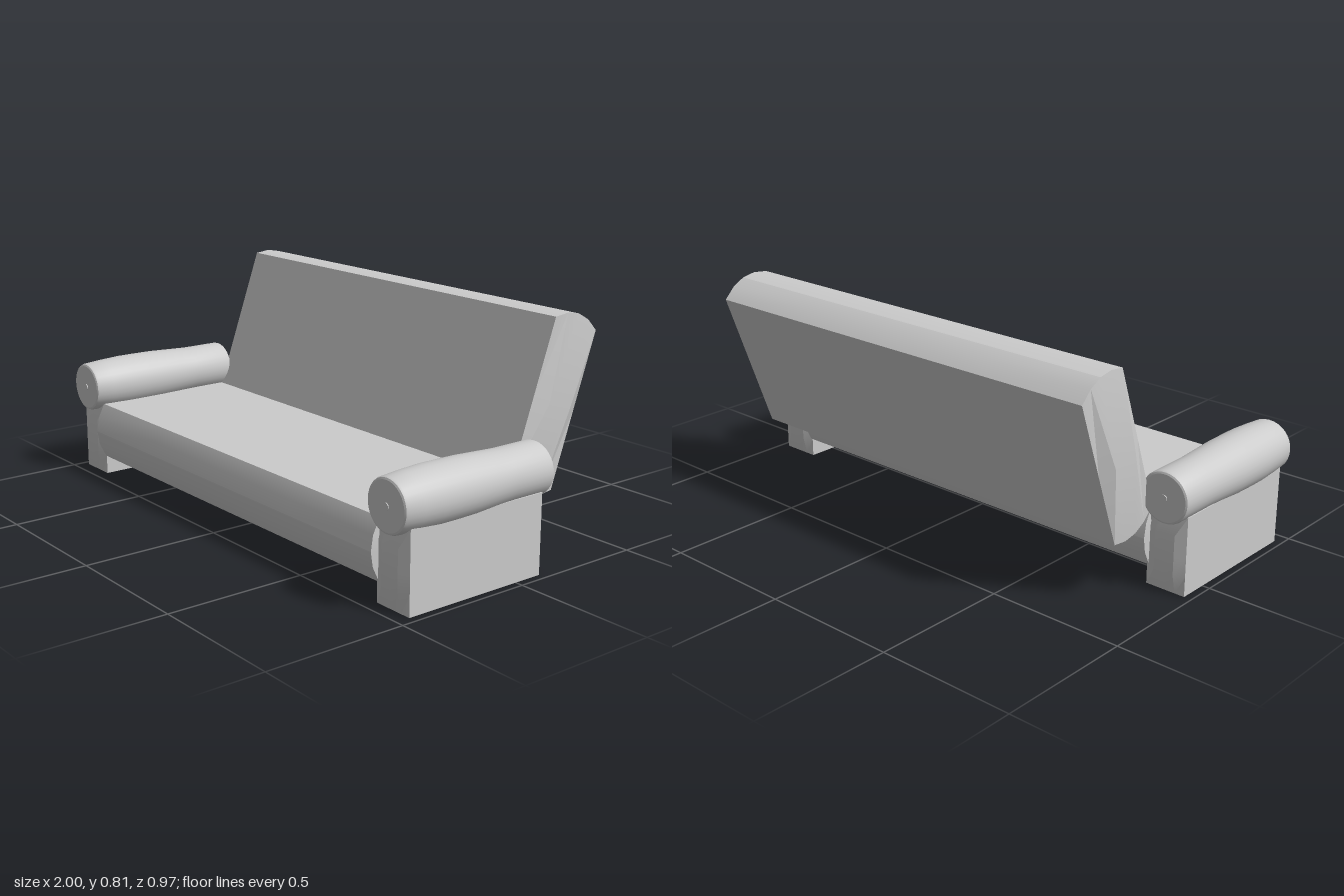
import * as THREE from 'three';
import { toCreasedNormals } from 'three/addons/utils/BufferGeometryUtils.js';

const material = new THREE.MeshStandardMaterial({ color: 0xcccccc });

// Box whose vertices are moved by rule(p, u, v, w), where u, v, w run from -1 to 1
function softBox(w, h, d, segs, rule) {
  const geo = new THREE.BoxGeometry(w, h, d, ...segs);
  const pos = geo.attributes.position;
  const p = new THREE.Vector3();
  for (let i = 0; i < pos.count; i++) {
    p.fromBufferAttribute(pos, i);
    rule(p, (2 * p.x) / w, (2 * p.y) / h, (2 * p.z) / d);
    pos.setXYZ(i, p.x, p.y, p.z);
  }
  return toCreasedNormals(geo, 0.3);
}

// 0 at the edges of a face, 1 from a quarter of the way in
const plateau = (t) => Math.min(1, 2 * (1 - Math.abs(t)));
const isEnd = (t) => Math.abs(t) > 0.999;

function addMesh(parent, name, geo, x, y, z) {
  const mesh = new THREE.Mesh(geo, material);
  mesh.name = name;
  mesh.position.set(x, y, z);
  parent.add(mesh);
  return mesh;
}

export function createModel() {
  const sofa = new THREE.Group();
  sofa.name = 'sofa';

  // Seat cushion: rounded along the front and back, slightly swollen ends
  const seat = softBox(1.66, 0.21, 0.555, [4, 4, 4], (p, u, v, w) => {
    if (isEnd(w)) p.z += w * 0.034 * (1 - v * v);
    if (isEnd(u)) p.x += u * 0.01 * plateau(v) * plateau(w);
  });
  addMesh(sofa, 'seat', seat, 0, 0.175, 0.171);

  // Leaning backrest: rounded top and bottom, swollen ends
  const back = softBox(1.66, 0.553, 0.207, [4, 2, 4], (p, u, v, w) => {
    if (isEnd(v)) p.y += v * 0.034 * (1 - w * w);
    if (isEnd(u)) p.x += u * 0.028 * (1 - Math.abs(v)) * plateau(w);
  });
  addMesh(sofa, 'backrest', back, 0, 0.505, -0.295).rotation.x = -0.343;

  // Side panel: front and rear faces swell a little
  const panel = softBox(0.15, 0.28, 0.555, [4, 4, 2], (p, u, v, w) => {
    if (isEnd(w)) p.z += w * 0.016 * plateau(u) * plateau(v);
  });

  // Armrest roll: bevelled ends, fuller towards the front, a button at each end
  const profile = [
    [0, -0.144], [0.012, -0.144], [0.012, -0.141], [0.082, -0.141], [0.088, -0.138], [0.091, -0.13],
    [0.091, 0.02], [0.095, 0.1], [0.099, 0.18], [0.1, 0.26], [0.1, 0.33], [0.096, 0.41],
    [0.091, 0.474], [0.088, 0.481], [0.082, 0.484], [0.012, 0.484], [0.012, 0.487], [0, 0.487],
  ].map(([r, z]) => new THREE.Vector2(r, z));
  const roll = toCreasedNormals(new THREE.LatheGeometry(profile, 32).rotateX(Math.PI / 2), 0.45);

  for (const [side, s] of [['left', 1], ['right', -1]]) {
    const arm = new THREE.Group();
    arm.name = side + 'Arm';
    addMesh(arm, side + 'ArmPanel', panel, s * 0.897, 0.14, 0.172);
    addMesh(arm, side + 'ArmRoll', roll, s * 0.9, 0.34, 0);
    sofa.add(arm);
  }
  return sofa;
}
